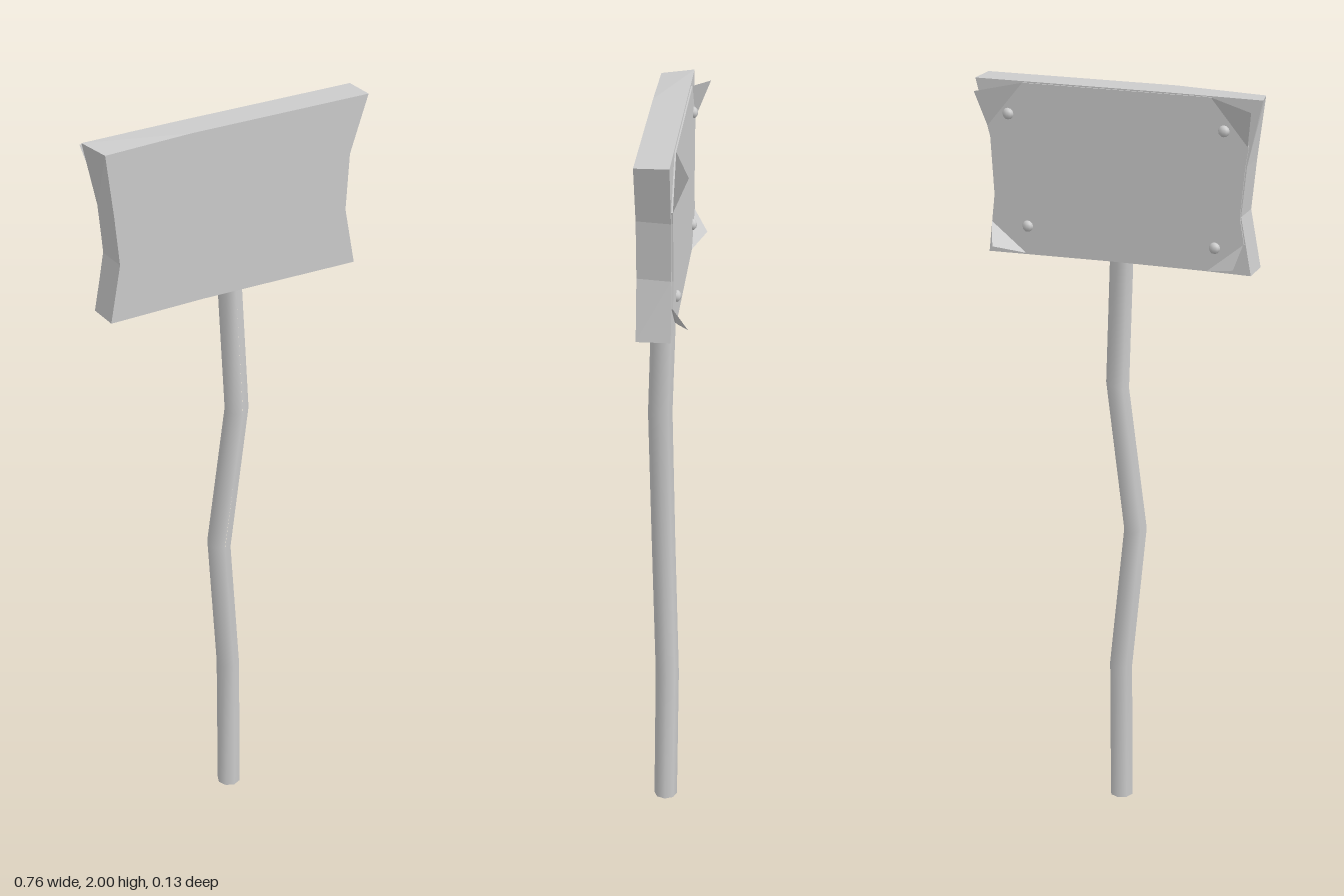
import * as THREE from 'three';

const mat = new THREE.MeshStandardMaterial({ color: 0xcccccc });
const flatMat = new THREE.MeshStandardMaterial({ color: 0xcccccc, flatShading: true, side: THREE.DoubleSide });

function add(group, name, geometry, material = mat) {
  const mesh = new THREE.Mesh(geometry, material);
  mesh.name = name;
  group.add(mesh);
  return mesh;
}

// Crooked post: eight-sided rings moved along a bent centre line
function postGeometry() {
  const centres = [[0, 0, 0.025], [0, 0.4, 0.02], [-0.036, 0.8, 0.033], [0.016, 1.2, 0.036], [0, 1.57, 0.025]];
  const geo = new THREE.CylinderGeometry(0.032, 0.032, 1, 8, centres.length - 1);
  const p = geo.attributes.position;
  for (let i = 0; i < p.count; i++) {
    const c = centres[Math.round((p.getY(i) + 0.5) * (centres.length - 1))];
    // rings lean with the bends
    const lean = c[1] === 0.8 ? -0.01 : c[1] === 1.2 ? 0.01 : 0;
    p.setXYZ(i, p.getX(i) + c[0], c[1] + Math.sign(p.getX(i)) * lean * 0.5, p.getZ(i) + c[2]);
  }
  // keep caps crisp, sides smooth
  geo.computeVertexNormals();
  const n = geo.attributes.normal;
  for (let r = 0; r < centres.length; r++) {
    const a = r * 9, b = a + 8;
    const v = new THREE.Vector3().fromBufferAttribute(n, a)
      .add(new THREE.Vector3().fromBufferAttribute(n, b)).normalize();
    n.setXYZ(a, v.x, v.y, v.z);
    n.setXYZ(b, v.x, v.y, v.z);
  }
  return geo;
}

// Board with pinched sides; its front edges are slightly worn back
function boardGeometry() {
  const outline = [[-0.36, 1.55], [-0.1, 1.553], [0.35, 1.547], [0.333, 1.7], [0.342, 1.85], [0.38, 2],
    [-0.13, 2], [-0.383, 1.998], [-0.345, 1.83], [-0.332, 1.7]];
  const shape = new THREE.Shape(outline.map(([x, y]) => new THREE.Vector2(x, y)));
  const geo = new THREE.ExtrudeGeometry(shape, { depth: 0.085, bevelEnabled: false });
  geo.translate(0, 0, -0.02);
  const p = geo.attributes.position;
  for (let i = 0; i < p.count; i++) {
    if (p.getZ(i) < 0) continue;
    const x = p.getX(i), y = p.getY(i);
    if (x > 0.3 && y > 1.6 && y < 1.95) p.setX(i, x - 0.013);
    if (x < -0.37) p.setXY(i, x + 0.018, y - 0.006);
  }
  geo.computeVertexNormals();
  return geo;
}

// Thin sheet on the back with its corners cut along the fold lines
function sheetGeometry() {
  const points = [[-0.25, 1.553], [0.24, 1.553], [0.338, 1.63], [0.329, 1.7], [0.338, 1.85], [0.345, 1.88],
    [0.25, 1.997], [-0.25, 1.997], [-0.35, 1.88], [-0.342, 1.83], [-0.33, 1.7], [-0.342, 1.63]];
  const shape = new THREE.Shape(points.map(([x, y]) => new THREE.Vector2(x, y)));
  const geo = new THREE.ExtrudeGeometry(shape, { depth: 0.004, bevelEnabled: false });
  geo.translate(0, 0, -0.025);
  return geo;
}

// Sheet corner lifted off the board: fold line on the board, free tip behind it
function flapGeometry(edge, side, tip) {
  const geo = new THREE.BufferGeometry();
  geo.setAttribute('position', new THREE.Float32BufferAttribute([...edge, -0.025, ...side, -0.025, ...tip], 3));
  geo.computeVertexNormals();
  return geo;
}

export function createModel() {
  const model = new THREE.Group();
  model.name = 'signpost';

  add(model, 'post', postGeometry());
  add(model, 'board', boardGeometry(), flatMat);
  add(model, 'backSheet', sheetGeometry(), flatMat);

  // Curled corners
  for (const s of [-1, 1]) {
    add(model, 'topFlap', flapGeometry([s * 0.25, 1.997], [s * 0.347, 1.88], [s * 0.366, 1.975, -0.064]), flatMat);
    add(model, 'bottomFlap', flapGeometry([s * 0.245, 1.553], [s * 0.34, 1.63], [s * 0.325, 1.572, -0.06]), flatMat);
  }

  // Nail heads
  for (const [x, y] of [[0.29, 1.915], [-0.285, 1.915], [0.24, 1.625], [-0.265, 1.615]]) {
    const nail = add(model, 'nail', new THREE.SphereGeometry(0.015, 8, 6));
    nail.position.set(x, y, -0.025);
    nail.scale.z = 0.8;
  }
  return model;
}
